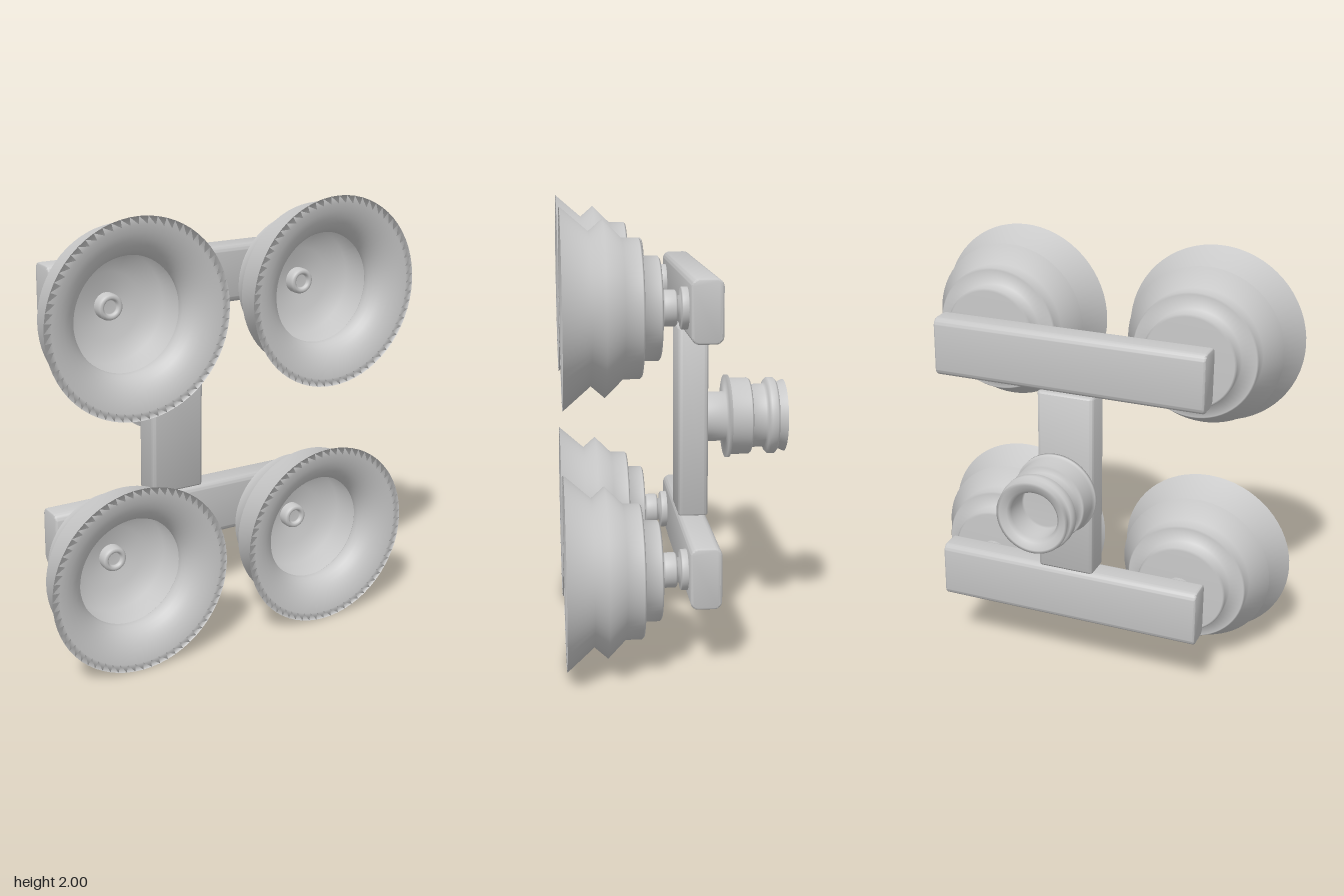
import * as THREE from 'three';
import { toCreasedNormals } from 'three/addons/utils/BufferGeometryUtils.js';

const grey = new THREE.MeshStandardMaterial({ color: 0xc8c8c8 });
grey.name = 'lightGrey';

function part(name, geometry, parent) {
  const mesh = new THREE.Mesh(geometry, grey);
  mesh.name = name;
  parent.add(mesh);
  return mesh;
}

// Smooth turned part around the z axis; profile is [radius, z], outside from back to front
function turned(profile, segments = 64) {
  const points = profile.map(([r, z]) => new THREE.Vector2(r, z));
  return new THREE.LatheGeometry(points, segments).rotateX(Math.PI / 2);
}

// Bar with a rounded cross-section, extruded along z and centred
function bar(w, h, length, r) {
  const x = w / 2, y = h / 2, s = new THREE.Shape();
  s.moveTo(-x + r, -y);
  s.lineTo(x - r, -y);
  s.absarc(x - r, -y + r, r, -Math.PI / 2, 0);
  s.absarc(x - r, y - r, r, 0, Math.PI / 2);
  s.absarc(-x + r, y - r, r, Math.PI / 2, Math.PI);
  s.absarc(-x + r, -y + r, r, Math.PI, Math.PI * 1.5);
  const b = 0.008;
  const geometry = new THREE.ExtrudeGeometry(s, {
    depth: length - 2 * b, bevelThickness: b, bevelSize: b, bevelOffset: -b,
    bevelSegments: 2, curveSegments: 6,
  });
  geometry.translate(0, 0, -length / 2 + b);
  return toCreasedNormals(geometry, 0.9);
}

// Rolled inner lip of a cup: a quarter ellipse from the rim to the mouth
const lip = [];
for (let i = 1; i <= 8; i++) {
  const a = (i / 8) * Math.PI / 2;
  lip.push([0.425 - 0.177 * Math.sin(a), 0.395 + 0.12 * Math.cos(a)]);
}

// Bellows cup with a hollow inside
const cupGeometry = turned([
  [0, 0.102], [0.21, 0.102], [0.22, 0.11], [0.22, 0.182],
  [0.288, 0.182], [0.295, 0.19], [0.295, 0.26],
  [0.372, 0.338], [0.322, 0.396], [0.425, 0.515],
  ...lip,
  [0.255, 0.385], [0.3, 0.342], [0.24, 0.27], [0.15, 0.235], [0.05, 0.215], [0, 0.21],
]);

// Neck and collars between a cup and its bar
const stemGeometry = turned([
  [0, -0.02], [0.085, -0.02], [0.09, -0.015], [0.09, 0.01], [0.085, 0.015],
  [0.055, 0.015], [0.055, 0.028], [0.07, 0.03], [0.077, 0.038], [0.077, 0.082],
  [0.07, 0.09], [0.055, 0.09], [0.055, 0.11], [0, 0.11],
], 40);

// Small nozzle with a shallow recess inside a cup
const nozzleGeometry = turned([
  [0.058, 0.2], [0.058, 0.25], [0.053, 0.262], [0.043, 0.266],
  [0.034, 0.262], [0.032, 0.25], [0.028, 0.248], [0, 0.248],
], 32);

export function createModel() {
  const model = new THREE.Group();
  model.name = 'suctionGripper';

  // Frame: two crossbars joined by an upright
  const zBar = -0.085;
  for (const [name, y] of [['upperCrossbar', 1.578], ['lowerCrossbar', 0.429]]) {
    const crossbar = part(name, bar(0.137, 0.273, 1.28, 0.035), model);
    crossbar.rotation.y = Math.PI / 2;
    crossbar.position.set(0, y, zBar);
  }
  const upright = part('upright', bar(0.27, 0.137, 0.876, 0.02), model);
  upright.rotation.x = Math.PI / 2;
  upright.position.set(0, 1.003, zBar);

  // Four suction cups
  for (const x of [-0.485, 0.485]) {
    for (const y of [0.426, 1.576]) {
      const cup = new THREE.Group();
      cup.name = (y > 1 ? 'upper' : 'lower') + (x > 0 ? 'Left' : 'Right') + 'Cup';
      part('bellows', cupGeometry, cup);
      part('stem', stemGeometry, cup);
      part('nozzle', nozzleGeometry, cup);
      cup.position.set(x, y, 0);
      model.add(cup);
    }
  }

  // Hollow hose connector on the back
  const connector = part('hoseConnector', turned([
    [0, -0.38], [0.1, -0.38], [0.108, -0.385], [0.11, -0.49], [0.125, -0.505], [0.155, -0.519],
    [0.168, -0.519], [0.152, -0.482], [0.168, -0.48], [0.178, -0.47],
    [0.178, -0.443], [0.168, -0.432], [0.155, -0.43], [0.147, -0.42],
    [0.147, -0.358], [0.172, -0.358], [0.178, -0.35], [0.178, -0.262],
    [0.192, -0.26], [0.192, -0.244], [0.115, -0.242], [0.115, -0.15],
  ]), model);
  connector.position.y = 1.005;

  return model;
}
